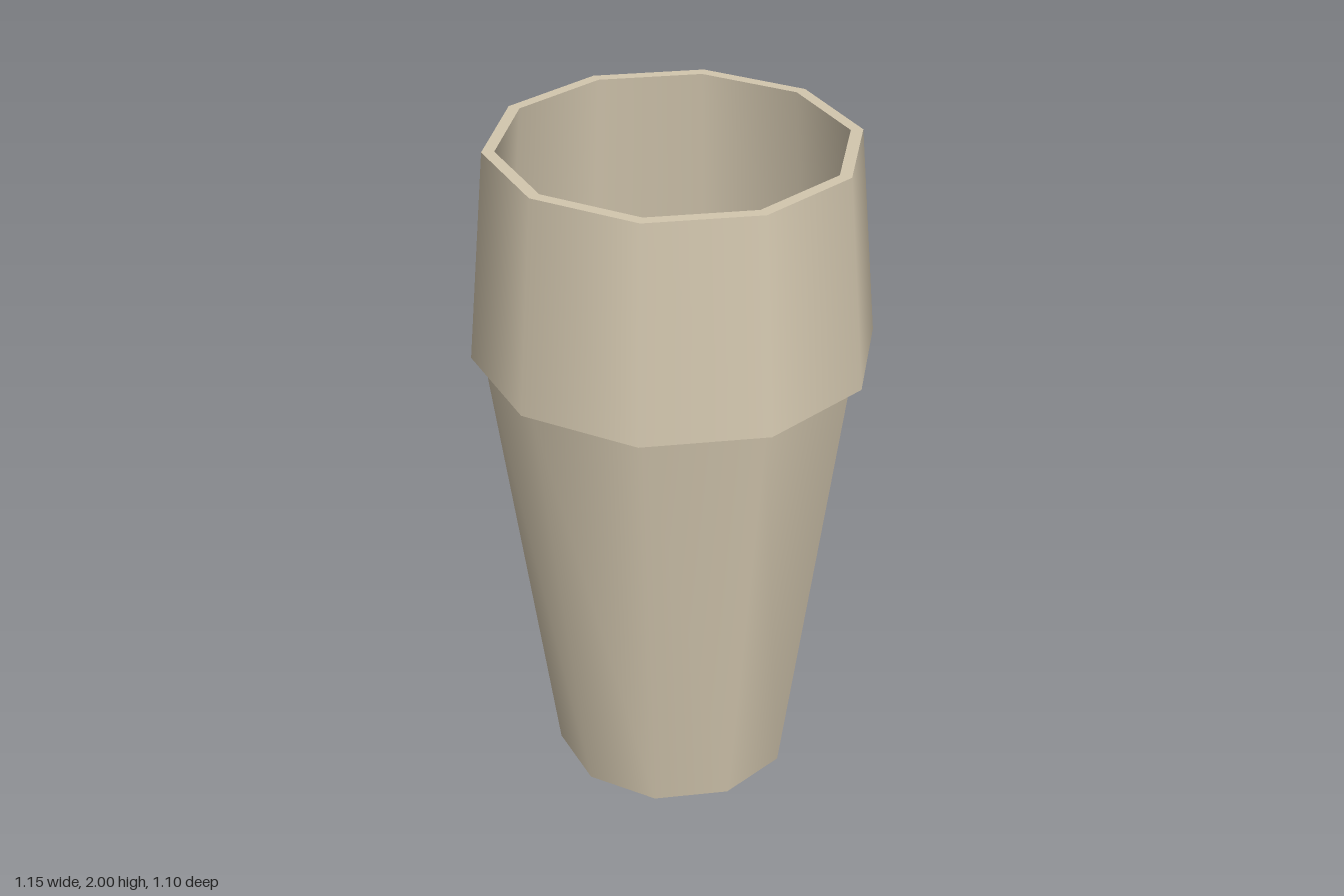
import * as THREE from 'three';

const SIDES = 10;

export function createModel() {
  const cup = new THREE.Group();
  cup.name = 'cup';
  const material = new THREE.MeshStandardMaterial({ color: 0xd2c6ae });

  // Profile [part, radius, height] from the base centre, up the outside, over the rim and down inside.
  // Each part runs from the previous point to its own.
  const profile = [
    ['start', 0, 0],
    ['base', 0.36, 0],
    ['outerWall', 0.542, 1.38],
    ['collarUnderside', 0.577, 1.38],
    ['collar', 0.52, 2],
    ['rim', 0.485, 2],
    ['innerCollar', 0.54, 1.415],
    ['innerLedge', 0.51, 1.415],
    ['innerWall', 0.33, 0.036],
    ['floor', 0, 0.036],
  ];

  // One ring per profile segment: smooth around the cup, sharp between segments
  for (let i = 1; i < profile.length; i++) {
    const [, r0, y0] = profile[i - 1];
    const [name, r1, y1] = profile[i];
    const points = [new THREE.Vector2(r0, y0), new THREE.Vector2(r1, y1)];
    const ring = new THREE.Mesh(new THREE.LatheGeometry(points, SIDES, Math.PI / 2), material);
    ring.name = name;
    cup.add(ring);
  }
  return cup;
}
